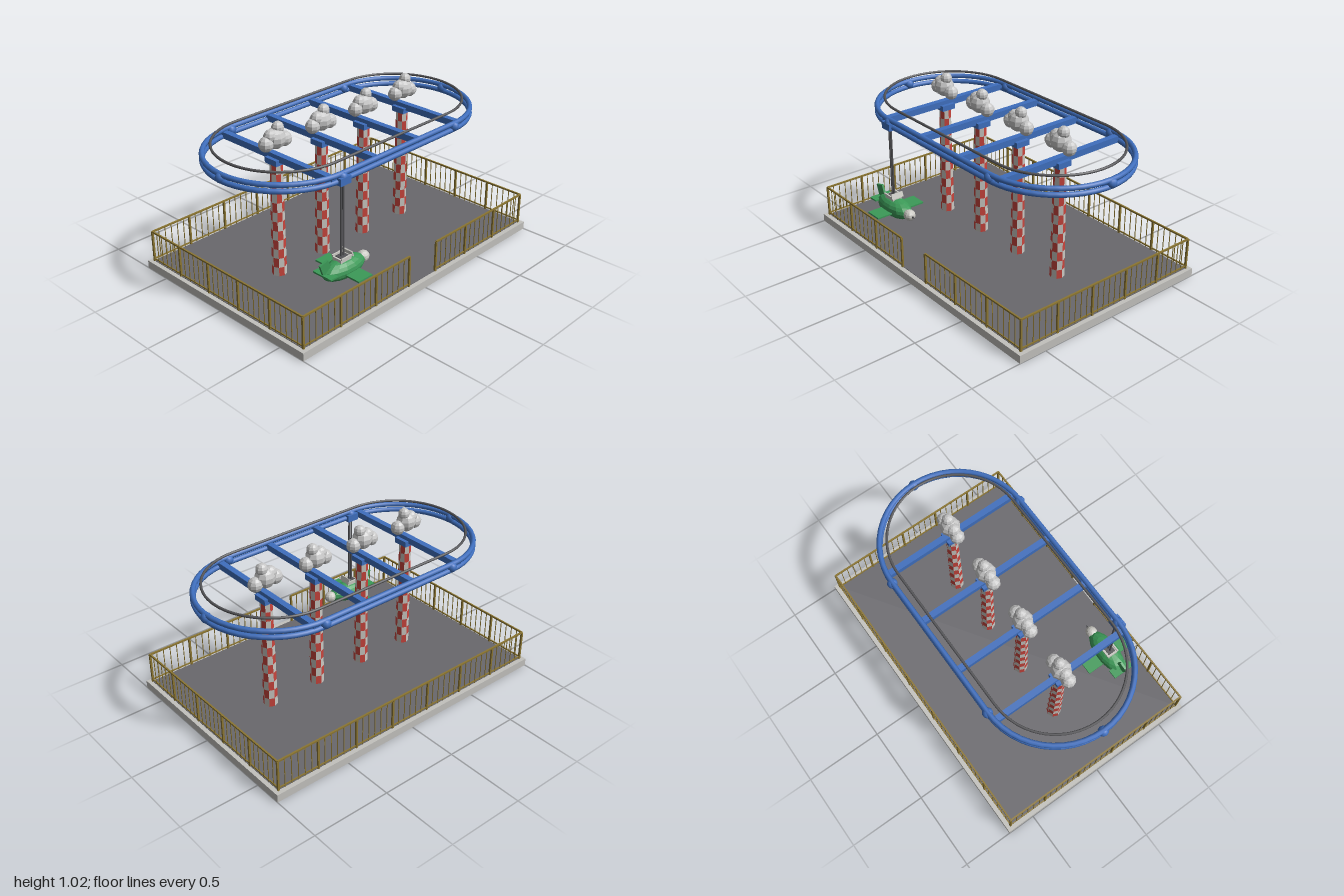
import * as THREE from 'three';

const mat = (name, color, opts = {}) => Object.assign(new THREE.MeshStandardMaterial({ color, ...opts }), { name });

export function createModel() {
  const flat = { flatShading: true };
  const stone = mat('pale stone', 0xc2c1bd);
  const asphalt = mat('dark floor', 0x69686d);
  const gold = mat('fence gold', 0x8c7632);
  const red = mat('red check', 0xc9443c, flat);
  const white = mat('white check', 0xc9c8c2, flat);
  const blue = mat('track blue', 0x3f6fbe);
  const green = mat('plane green', 0x3c9a58, flat);
  const cloudGrey = mat('cloud white', 0xc6c6c6, flat);
  const steel = mat('dark steel', 0x555558);

  const model = new THREE.Group();
  model.name = 'planeRide';

  const add = (parent, name, geo, material, x = 0, y = 0, z = 0) => {
    const m = new THREE.Mesh(geo, material);
    m.name = name;
    m.position.set(x, y, z);
    parent.add(m);
    return m;
  };
  const box = (parent, name, material, w, h, d, x, y, z) =>
    add(parent, name, new THREE.BoxGeometry(w, h, d), material, x, y, z);
  const group = (name, x = 0, y = 0, z = 0) => {
    const g = new THREE.Group();
    g.name = name;
    g.position.set(x, y, z);
    model.add(g);
    return g;
  };

  // Platform
  box(model, 'platform', stone, 2, 0.05, 1.36, 0, 0.025, 0);
  box(model, 'floor', asphalt, 1.945, 0.004, 1.3, 0, 0.051, 0);

  // Fence run along local x: rails, posts and thin bars
  const fenceRun = (name, length, panels, x, z, turn = 0) => {
    const g = group(name, x, 0, z);
    g.rotation.y = turn;
    box(g, 'topRail', gold, length, 0.01, 0.01, 0, 0.25, 0);
    box(g, 'bottomRail', gold, length, 0.007, 0.007, 0, 0.066, 0);
    const steps = panels * 6;
    for (let i = 0; i <= steps; i++) {
      const px = -length / 2 + (length * i) / steps;
      const w = i % 6 === 0 ? 0.012 : 0.004;
      box(g, i % 6 === 0 ? 'post' : 'bar', gold, w, 0.2, w, px, 0.15, 0);
    }
  };
  fenceRun('backFence', 1.94, 7, 0, -0.65);
  for (const s of [-1, 1]) {
    fenceRun('sideFence', 1.3, 5, s * 0.97, 0, Math.PI / 2);
    fenceRun('frontFence', 0.85, 3, s * 0.545, 0.65);
  }

  // Checkered column with its cap, crossbeam and cloud
  const columnGeo = new THREE.CylinderGeometry(0.037, 0.045, 0.725, 8, 12, true);
  columnGeo.clearGroups();
  for (let s = 0; s < 8; s++)
    for (let r = 0; r < 12; r++) columnGeo.addGroup((s * 12 + r) * 6, 6, (s + r) % 2);
  const puffs = [
    [0, 0.925, 0.062], [-0.07, 0.908, 0.045], [0.068, 0.903, 0.045],
    [0.02, 0.984, 0.037], [-0.035, 0.945, 0.042],
  ];
  for (const x of [-0.54, -0.18, 0.18, 0.54]) {
    const g = group('support', x);
    add(g, 'column', columnGeo, [red, white], 0, 0.4125, 0);
    box(g, 'columnCap', blue, 0.085, 0.035, 0.095, 0, 0.7925, 0);
    box(g, 'crossbeam', blue, 0.038, 0.04, 0.92, 0, 0.815, 0);
    for (const [px, py, r] of puffs)
      add(g, 'cloudPuff', new THREE.SphereGeometry(r, 9, 7), cloudGrey, px, py, 0);
  }

  // Stadium loops: two straights joined by half circles
  const stadium = (name, radius, tube, y, material) => {
    const straight = 0.48, pts = [], n = 24;
    for (const s of [1, -1])
      for (let i = 0; i <= n; i++) {
        const a = -Math.PI / 2 + (Math.PI * i) / n;
        pts.push(new THREE.Vector3(s * (straight + radius * Math.cos(a)), y, s * radius * Math.sin(a)));
      }
    const path = new THREE.CurvePath();
    pts.forEach((p, i) => path.add(new THREE.LineCurve3(p, pts[(i + 1) % pts.length])));
    add(model, name, new THREE.TubeGeometry(path, 160, tube, 8, true), material);
  };
  stadium('upperTrack', 0.46, 0.016, 0.84, blue);
  stadium('lowerTrack', 0.46, 0.016, 0.802, blue);
  stadium('powerCable', 0.41, 0.008, 0.89, steel);
  for (const [x, z] of [[0.48, 0.46], [0.48, -0.46], [-0.48, 0.46], [-0.48, -0.46], [0.94, 0], [-0.94, 0]])
    add(model, 'trackJoint', new THREE.SphereGeometry(0.032, 10, 8), blue, x, 0.821, z);

  // Trolley and hanging rods
  const ride = group('hangingPlane', -0.48, 0, 0.46);
  box(ride, 'trolley', blue, 0.08, 0.045, 0.062, 0, 0.805, 0);
  for (const s of [-1, 1])
    add(ride, 'hangerRod', new THREE.CylinderGeometry(0.006, 0.006, 0.48, 8), steel, s * 0.009, 0.555, 0);

  // Plane
  const body = add(ride, 'fuselage', new THREE.SphereGeometry(1, 14, 10), green, 0.01, 0.255, 0);
  body.scale.set(0.16, 0.063, 0.072);
  box(ride, 'wing', green, 0.11, 0.01, 0.34, 0.015, 0.245, -0.005);
  box(ride, 'tailWing', green, 0.06, 0.01, 0.14, -0.132, 0.268, 0);
  const fin = new THREE.Shape([[-0.18, 0.338], [-0.118, 0.354], [-0.085, 0.265], [-0.148, 0.25]]
    .map(([x, y]) => new THREE.Vector2(x, y)).reverse());
  add(ride, 'tailFin', new THREE.ExtrudeGeometry(fin, { depth: 0.014, bevelEnabled: false }), green, 0, 0, -0.007);
  const nose = add(ride, 'nose', new THREE.SphereGeometry(0.037, 10, 8), white, 0.17, 0.258, 0);
  nose.scale.set(1.1, 0.95, 1);
  const spinner = add(ride, 'spinner', new THREE.ConeGeometry(0.012, 0.03, 8), steel, 0.212, 0.258, 0);
  spinner.rotation.z = -Math.PI / 2;
  // Cockpit rim, seat well and windscreen
  box(ride, 'cockpit', white, 0.085, 0.035, 0.066, 0, 0.312, 0);
  box(ride, 'seatWell', steel, 0.062, 0.004, 0.05, 0, 0.331, 0);
  for (const s of [-1, 1]) box(ride, 'cockpitRim', white, 0.085, 0.01, 0.01, 0, 0.335, s * 0.036);
  const screen = box(ride, 'windscreen', white, 0.008, 0.035, 0.084, 0.042, 0.342, 0);
  screen.rotation.z = 0.35;

  return model;
}
